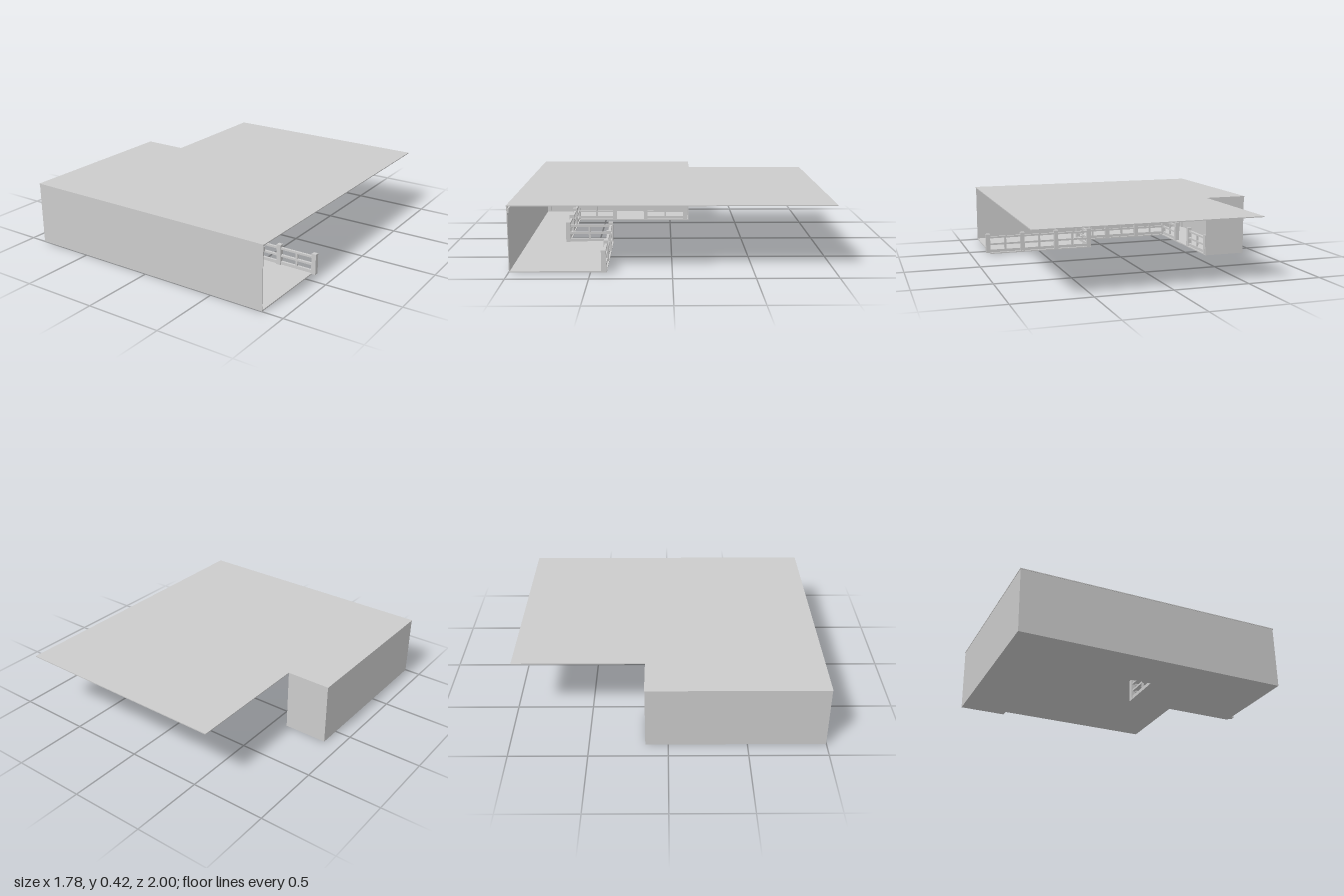
import * as THREE from 'three';

const material = new THREE.MeshStandardMaterial({ color: 0xcccccc });

// Box given by its minimum and maximum corners
function box(parent, name, [x0, y0, z0], [x1, y1, z1]) {
  const geometry = new THREE.BoxGeometry(x1 - x0, y1 - y0, z1 - z0);
  const mesh = new THREE.Mesh(geometry, material);
  mesh.position.set((x0 + x1) / 2, (y0 + y1) / 2, (z0 + z1) / 2);
  mesh.name = name;
  parent.add(mesh);
  return mesh;
}

// Horizontal slab from an outline of [x, z] points
function slab(parent, name, outline, y, thickness) {
  const shape = new THREE.Shape(outline.map(([x, z]) => new THREE.Vector2(x, -z)));
  const geometry = new THREE.ExtrudeGeometry(shape, { depth: thickness, bevelEnabled: false });
  geometry.rotateX(-Math.PI / 2);
  const mesh = new THREE.Mesh(geometry, material);
  mesh.position.y = y;
  mesh.name = name;
  parent.add(mesh);
}

// Railing between two [x, z] points: square posts, three rails, a thin baluster per bay
function railing(parent, name, [ax, az], [bx, bz], bays) {
  const group = new THREE.Group();
  group.name = name;
  const length = Math.hypot(bx - ax, bz - az);
  const step = length / bays;
  for (let i = 0; i <= bays; i++) {
    box(group, 'post', [i * step - 0.015, 0.008, -0.015], [i * step + 0.015, 0.145, 0.015]);
    if (i < bays) {
      const mid = (i + 0.5) * step;
      box(group, 'baluster', [mid - 0.007, 0.01, -0.006], [mid + 0.007, 0.12, 0.006]);
    }
  }
  for (const [y0, y1] of [[0.01, 0.03], [0.063, 0.076], [0.113, 0.126]]) {
    box(group, 'rail', [0, y0, -0.008], [length, y1, 0.008]);
  }
  group.position.set(ax, 0, az);
  group.rotation.y = -Math.atan2(bz - az, bx - ax);
  parent.add(group);
}

export function createModel() {
  const model = new THREE.Group();
  model.name = 'coveredPorch';

  // Roof with one corner notched out
  slab(model, 'roof', [
    [-0.893, 1], [0.865, 1], [0.865, -1], [-0.595, -1], [-0.595, -0.147], [-0.893, -0.147],
  ], 0.412, 0.006);

  // Deck wrapping the inner corner, wider at the open end
  slab(model, 'deck', [
    [-0.89, 0.998], [0.86, 0.998], [0.86, 0.4], [0.1, 0.4],
    [0.1, 0.7], [-0.595, 0.7], [-0.595, -0.145], [-0.89, -0.145],
  ], 0, 0.008);

  // Outer walls
  box(model, 'frontWall', [-0.891, 0, 0.993], [0.86, 0.412, 0.998]);
  box(model, 'sideWall', [-0.891, 0, -0.145], [-0.886, 0.412, 0.998]);
  box(model, 'backWall', [-0.891, 0, -0.145], [-0.595, 0.412, -0.14]);

  // Mouldings inside the walls
  box(model, 'frontMoulding', [-0.886, 0.372, 0.983], [0.863, 0.402, 0.993]);
  box(model, 'sideMoulding', [-0.886, 0.372, -0.14], [-0.876, 0.402, 0.993]);
  box(model, 'backMoulding', [-0.886, 0.372, -0.14], [-0.597, 0.402, -0.13]);
  box(model, 'cornerTrim', [-0.886, 0.008, 0.962], [-0.874, 0.412, 0.993]);
  box(model, 'cornerTrim', [-0.886, 0.008, -0.14], [-0.874, 0.412, -0.11]);

  // Railings along the open edges, with an entrance gap on the short side
  railing(model, 'outerRailing', [0.875, 0.418], [0.115, 0.418], 3);
  railing(model, 'stepRailing', [0.115, 0.418], [0.115, 0.715], 1);
  railing(model, 'innerRailing', [0.115, 0.715], [-0.61, 0.715], 3);
  railing(model, 'entranceRailing', [-0.61, 0.715], [-0.61, 0.43], 1);
  railing(model, 'entranceRailing', [-0.61, 0.19], [-0.61, -0.117], 1);

  return model;
}
